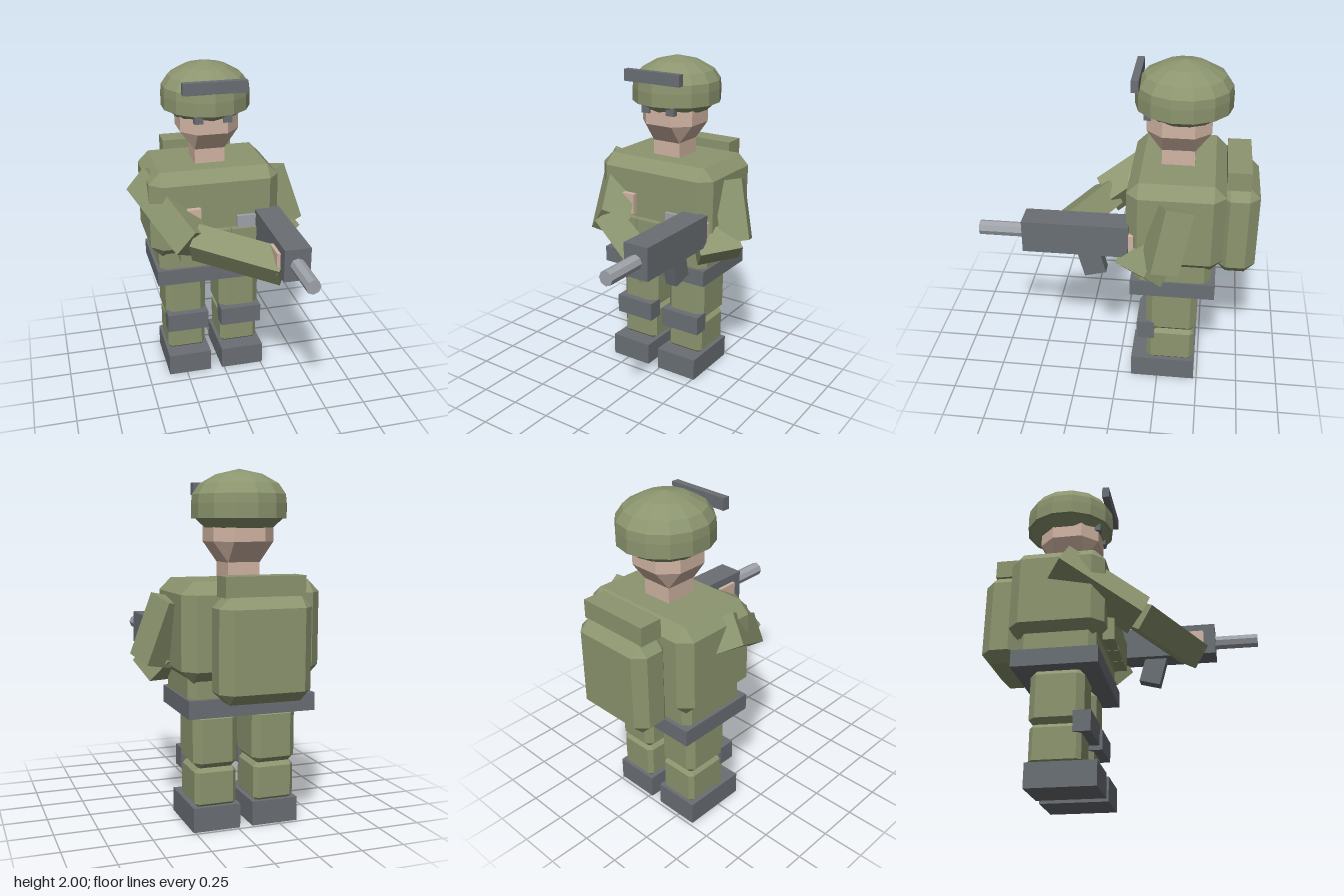
import * as THREE from 'three';
import { ConvexGeometry } from 'three/addons/geometries/ConvexGeometry.js';

const mat = (name, color, extra = {}) => {
  const m = new THREE.MeshStandardMaterial({ color, flatShading: true, ...extra });
  m.name = name;
  return m;
};

export function createModel() {
  const green = mat('olive cloth', 0x8c956f);
  const grey = mat('dark gear', 0x6a6f74);
  const skin = mat('skin', 0xd1b5a3);
  const metal = mat('light metal', 0x9fa3aa);
  const model = new THREE.Group();
  model.name = 'soldier';

  const add = (name, geo, material, x = 0, y = 0, z = 0) => {
    const mesh = new THREE.Mesh(geo, material);
    mesh.name = name;
    mesh.position.set(x, y, z);
    model.add(mesh);
    return mesh;
  };

  // Box given by its limits on each axis
  const box = (name, material, [x0, x1], [y0, y1], [z0, z1]) =>
    add(name, new THREE.BoxGeometry(x1 - x0, y1 - y0, z1 - z0), material,
      (x0 + x1) / 2, (y0 + y1) / 2, (z0 + z1) / 2);

  // Box with every edge and corner cut by b
  const bevelBox = (name, material, [x0, x1], [y0, y1], [z0, z1], b) => {
    const half = [(x1 - x0) / 2, (y1 - y0) / 2, (z1 - z0) / 2];
    const points = [];
    for (const sx of [-1, 1]) for (const sy of [-1, 1]) for (const sz of [-1, 1])
      for (let axis = 0; axis < 3; axis++) {
        const p = half.map((h, i) => (i === axis ? h : h - b));
        points.push(new THREE.Vector3(sx * p[0], sy * p[1], sz * p[2]));
      }
    return add(name, new ConvexGeometry(points), material,
      (x0 + x1) / 2, (y0 + y1) / 2, (z0 + z1) / 2);
  };

  // Square limb between two joints
  const limb = (name, from, to, size) => {
    const a = new THREE.Vector3(...from), b = new THREE.Vector3(...to);
    const d = b.clone().sub(a), length = d.length();
    const mesh = add(name, new THREE.BoxGeometry(size, length, size), green);
    mesh.position.copy(a).add(b).multiplyScalar(0.5);
    mesh.quaternion.setFromUnitVectors(new THREE.Vector3(0, 1, 0), d.normalize());
  };

  // Legs, knee pads and boots
  for (const [side, x] of [['right', -0.227], ['left', 0.123]]) {
    const span = (h) => [x - h, x + h];
    box(side + 'Boot', grey, span(0.138), [0, 0.14], [-0.48, -0.085]);
    bevelBox(side + 'Shin', green, span(0.122), [0.13, 0.36], [-0.47, -0.18], 0.025);
    bevelBox(side + 'Thigh', green, span(0.13), [0.35, 0.68], [-0.48, -0.17], 0.04);
    box(side + 'KneePad', grey, span(0.132), [0.3, 0.42], [-0.225, -0.125]);
  }

  // Trunk
  box('belt', grey, [-0.42, 0.317], [0.67, 0.77], [-0.575, -0.08]);
  bevelBox('waist', green, [-0.4, 0.305], [0.7, 0.93], [-0.55, -0.1], 0.04);
  bevelBox('torso', green, [-0.45, 0.347], [0.857, 1.4], [-0.607, -0.052], 0.068);

  // Chest gear
  for (const x of [-0.21, -0.05, 0.11])
    box('chestPouch', green, [x - 0.078, x + 0.078], [0.86, 1.04], [-0.08, -0.012]);
  box('radio', metal, [0.07, 0.21], [1.0, 1.115], [-0.07, -0.03]);
  box('chestPatch', skin, [-0.25, -0.155], [1.06, 1.187], [-0.07, -0.02]);

  // Backpack with bedroll
  bevelBox('backpack', green, [-0.31, 0.207], [0.77, 1.33], [-0.8, -0.57], 0.06);
  box('bedroll', green, [-0.275, 0.172], [1.325, 1.435], [-0.742, -0.605]);

  // Neck and head, octagonal above and tapering to the chin
  box('neck', skin, [-0.145, 0.04], [1.39, 1.5], [-0.42, -0.23]);
  const headPoints = [];
  for (const sx of [-1, 1]) for (const sz of [-1, 1]) {
    for (const y of [1.605, 1.76])
      headPoints.push(new THREE.Vector3(sx * 0.177, y, sz * 0.09),
        new THREE.Vector3(sx * 0.09, y, sz * 0.183));
    headPoints.push(new THREE.Vector3(sx * 0.092, 1.49, sz * 0.095));
  }
  add('head', new ConvexGeometry(headPoints), skin, -0.053, 0, -0.323);
  for (const x of [-0.138, 0.035])
    box('eye', grey, [x - 0.027, x + 0.027], [1.675, 1.74], [-0.165, -0.125]);

  // Helmet with rim, and raised goggles
  const profile = [[0, 1.67], [0.19, 1.68], [0.245, 1.73], [0.267, 1.73], [0.267, 1.81],
    [0.262, 1.86], [0.222, 1.918], [0.13, 1.97], [0, 2]];
  const helmet = add('helmet', new THREE.LatheGeometry(
    profile.map(([r, y]) => new THREE.Vector2(r, y)), 14), green, -0.053, 0, -0.341);
  helmet.scale.z = 1.03;
  box('goggles', grey, [-0.243, 0.138], [1.865, 1.935], [-0.102, -0.06]);

  // Arms and hands
  limb('rightUpperArm', [-0.445, 1.29, -0.32], [-0.225, 1.03, 0.12], 0.18);
  limb('rightForearm', [-0.22, 1.04, 0.11], [0.23, 0.965, 0.4], 0.16);
  box('rightHand', skin, [0.165, 0.28], [0.96, 1.09], [0.335, 0.47]);
  limb('leftUpperArm', [0.334, 1.29, -0.326], [0.44, 0.945, -0.256], 0.17);
  limb('leftForearm', [0.44, 0.945, -0.256], [0.265, 0.915, -0.075], 0.16);
  box('leftHand', skin, [0.21, 0.337], [0.95, 1.085], [-0.1, 0.02]);

  // Rifle
  box('rifleBody', grey, [0.185, 0.34], [0.945, 1.14], [-0.07, 0.54]);
  const barrel = add('rifleBarrel', new THREE.CylinderGeometry(0.043, 0.043, 0.28, 8),
    metal, 0.262, 1.043, 0.66);
  barrel.rotation.x = Math.PI / 2;
  const grip = add('rifleGrip', new THREE.BoxGeometry(0.075, 0.22, 0.13),
    grey, 0.262, 0.895, 0.152);
  grip.rotation.x = 0.26;

  return model;
}
